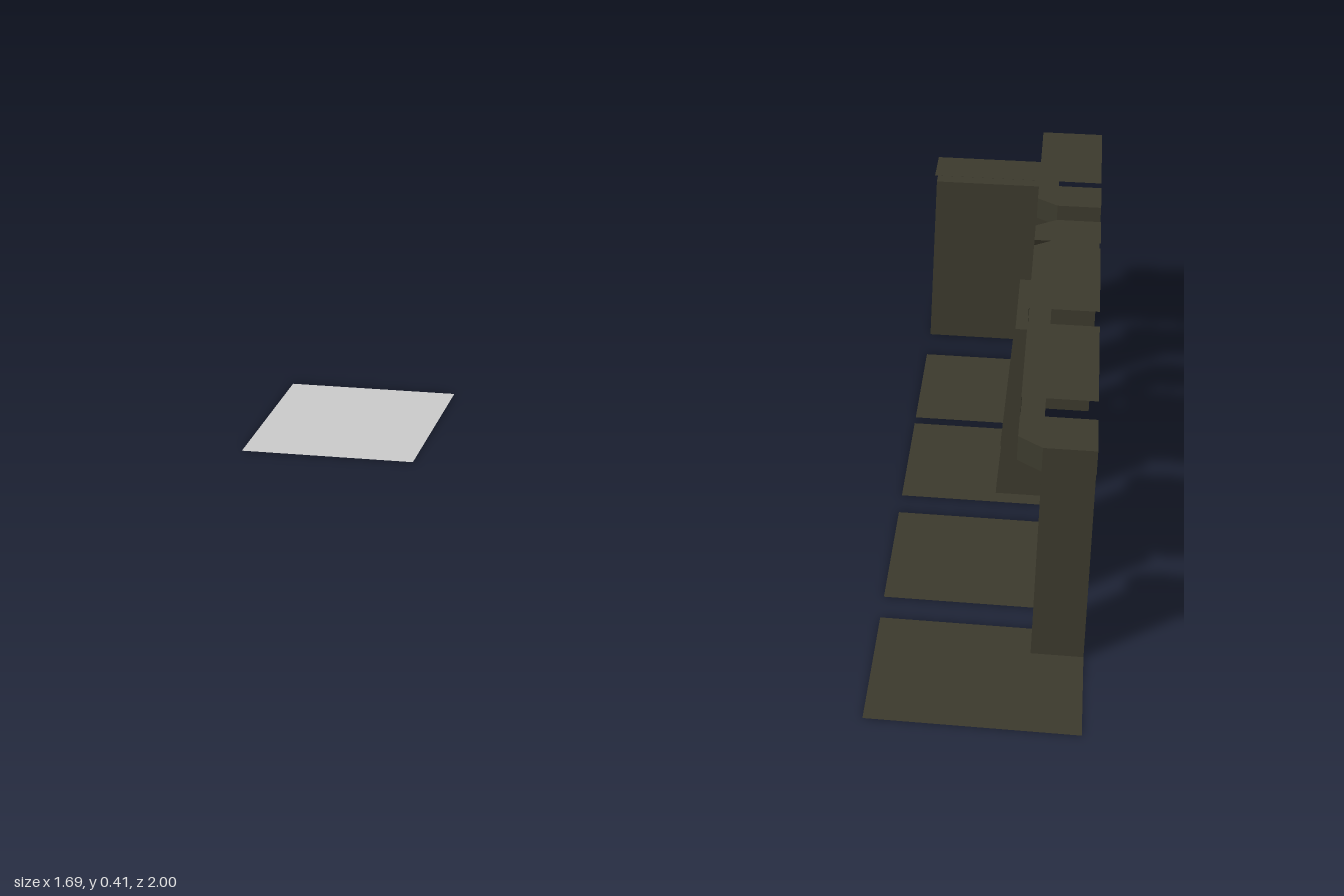
import * as THREE from 'three';

const stone = new THREE.MeshStandardMaterial({ color: 0x3b392c, side: THREE.DoubleSide });
stone.name = 'dark olive stone';
const plain = new THREE.MeshStandardMaterial({ color: 0xc9c9c9, side: THREE.DoubleSide });
plain.name = 'light grey';

const H = 0.178;    // half a tile
const W = 0.088;    // wall face
const C = 0.046;    // overhanging cap face
const CAP = 0.362;  // cap underside
const TOP = 0.405;

function add(group, name, geometry, material = stone) {
  const mesh = new THREE.Mesh(geometry, material);
  mesh.name = name;
  group.add(mesh);
  return mesh;
}

function outline(points) {
  return new THREE.ShapeGeometry(new THREE.Shape(points.map(([a, b]) => new THREE.Vector2(a, b))));
}

// Horizontal sheet from [x, z] corners
function flat(points, y) {
  return outline(points.map(([x, z]) => [x, -z])).rotateX(-Math.PI / 2).translate(0, y, 0);
}

// Sheet facing -x from [z, y] corners; its x follows a rule of height
function upright(points, xAt) {
  const geo = outline(points).rotateY(-Math.PI / 2);
  const p = geo.attributes.position;
  for (let i = 0; i < p.count; i++) p.setX(i, xAt(p.getY(i)));
  geo.computeVertexNormals();
  return geo;
}

// Flat-shaded quads joining two matching lines of 3D points
function bridge(a, b) {
  const v = [];
  for (let i = 0; i < a.length - 1; i++) {
    v.push(...a[i], ...a[i + 1], ...b[i + 1], ...a[i], ...b[i + 1], ...b[i]);
  }
  const geo = new THREE.BufferGeometry();
  geo.setAttribute('position', new THREE.Float32BufferAttribute(v, 3));
  geo.computeVertexNormals();
  return geo;
}

function strip(path, y0, y1) {
  return bridge(path.map(([x, z]) => [x, y0, z]), path.map(([x, z]) => [x, y1, z]));
}

// Overhanging cap: top, fascia and the ledge back to the wall
function addCap(group, capPath, wallPath, closing) {
  add(group, 'capTop', flat([...capPath, ...closing], TOP));
  add(group, 'capFascia', strip(capPath, CAP, TOP));
  add(group, 'capUnderside', flat([...capPath, ...[...wallPath].reverse()], CAP));
}

// Corner post at the tile's outer corner; side is -1 or 1 in z
function addPost(group, side) {
  const at = (pts) => pts.map(([x, z]) => [x, z * side]);
  const wall = at([[W, H], [W, W], [H, W]]);
  add(group, 'postBody', strip(wall, 0, CAP));
  addCap(group, at([[C, H], [C, W], [W, C], [H, C]]), wall, at([[H, H]]));
}

function straightCap(group) {
  addCap(group, [[C, -H], [C, H]], [[W, -H], [W, H]], [[H, H], [H, -H]]);
}

function shortFloor(group) {
  add(group, 'floor', flat([[-H, -H], [W, -H], [W, H], [-H, H]], 0));
}

function onePostTile(group) {
  add(group, 'floor', flat([[-H, H], [H, H], [H, -W], [W, -W], [W, -H], [-H, -H]], 0));
  addPost(group, -1);
}

function twoPostTile(group) {
  add(group, 'floor', flat([[-H, H], [W, H], [W, W], [H, W], [H, -W], [W, -W], [W, -H], [-H, -H]], 0));
  addPost(group, -1);
  addPost(group, 1);
}

function wallTile(group) {
  shortFloor(group);
  add(group, 'wall', strip([[W, -H], [W, H]], 0, CAP));
  straightCap(group);
}

function doorTile(group) {
  shortFloor(group);
  straightCap(group);
  const arch = (half, top) => [[-half, 0], [-half, top], [half, top], [half, 0]];
  const outer = arch(0.137, 0.345), inner = arch(0.09, 0.285);
  const slope = (y) => 0.002 + 0.06 * y;
  // Wall around the frame
  add(group, 'wall', upright([[-H, 0], [-H, CAP], [H, CAP], [H, 0], ...[...outer].reverse()], () => W));
  // Leaning frame with its outer sides and inner reveal
  add(group, 'doorFrameFront', upright([...outer, ...[...inner].reverse()], slope));
  for (const [name, line] of [['doorFrameSides', outer], ['doorReveal', inner]]) {
    add(group, name, bridge(line.map(([z, y]) => [slope(y), y, z]), line.map(([z, y]) => [W, y, z])));
  }
}

function cornerTile(group) {
  add(group, 'floor', flat([[-H, -H], [W, -H], [W, W], [-H, W]], 0));
  const wall = [[W, -H], [W, W], [-H, W]];
  add(group, 'cornerWalls', strip(wall, 0, CAP));
  addCap(group, [[C, -H], [C, C], [-H, C]], wall, [[-H, H], [H, H], [H, -H]]);
}

export function createModel() {
  const model = new THREE.Group();
  model.name = 'wallTileSet';
  const tiles = [
    ['onePostTile', onePostTile, 0.822],
    ['straightWallTile', wallTile, 0.386],
    ['doorwayTile', doorTile, -0.047],
    ['twoPostTile', twoPostTile, -0.434],
    ['cornerWallTile', cornerTile, -0.822],
  ];
  for (const [name, build, z] of tiles) {
    const tile = new THREE.Group();
    tile.name = name;
    tile.position.set(0.667, 0, z);
    build(tile);
    model.add(tile);
  }
  // Separate bare floor tile
  add(model, 'bareFloorTile', flat([[-H, -H], [H, -H], [H, H], [-H, H]], 0), plain)
    .position.set(-0.669, 0, -0.047);
  return model;
}
